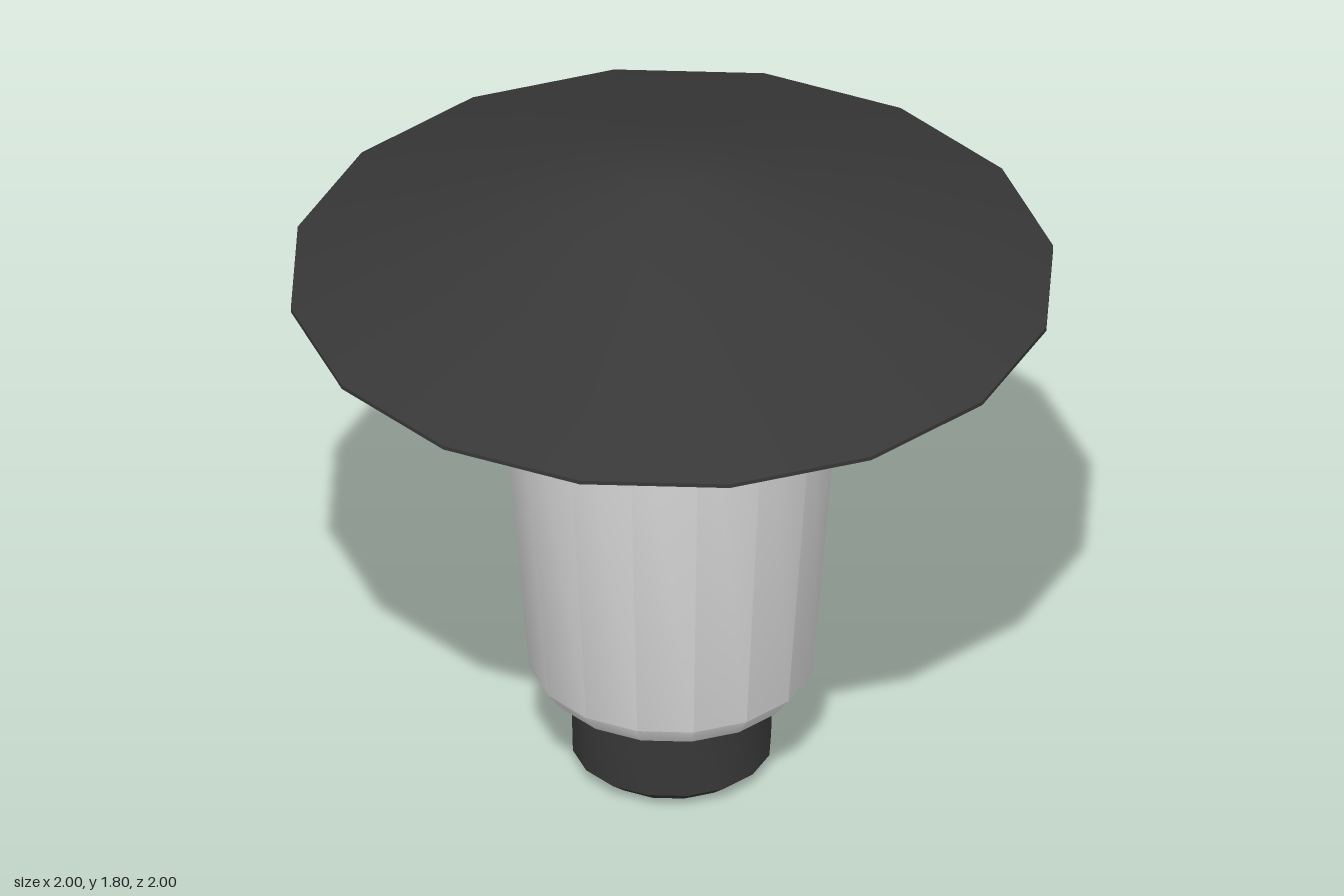
import * as THREE from 'three';
import { toCreasedNormals } from 'three/addons/utils/BufferGeometryUtils.js';

const SIDES = 16;

export function createModel() {
  const model = new THREE.Group();
  model.name = 'gardenLamp';

  const dark = new THREE.MeshStandardMaterial({ color: 0x383838 });
  dark.name = 'charcoal';
  const pale = new THREE.MeshStandardMaterial({ color: 0xe0e0e0 });
  pale.name = 'pale grey';

  // Turned part from [radius, height] pairs, listed so the outside faces front
  function turned(name, material, profile) {
    const points = profile.map(([r, y]) => new THREE.Vector2(r, y));
    const geometry = toCreasedNormals(new THREE.LatheGeometry(points, SIDES), 0.55);
    const mesh = new THREE.Mesh(geometry, material);
    mesh.name = name;
    model.add(mesh);
  }

  // Foot with a chamfered lower edge
  turned('foot', dark, [[0, 0], [0.21, 0], [0.26, 0.04], [0.265, 0.25]]);

  // Dark disc closing the underside of the shade
  turned('collar', dark, [[0.25, 0.243], [0.305, 0.243], [0.31, 0.255]]);

  // Tapered shade with a bevelled lower rim
  turned('lampShade', pale, [[0.3, 0.25], [0.335, 0.256], [0.375, 0.31], [0.484, 1.645]]);

  // Pale lining under the cap
  turned('capLining', pale, [[0, 1.77], [0.1, 1.765], [0.32, 1.705], [0.985, 1.465]]);

  // Wide shallow cap with a thin rim
  turned('cap', dark, [[0.985, 1.465], [1, 1.467], [1, 1.478], [0.32, 1.74], [0.1, 1.8], [0, 1.805]]);

  return model;
}
